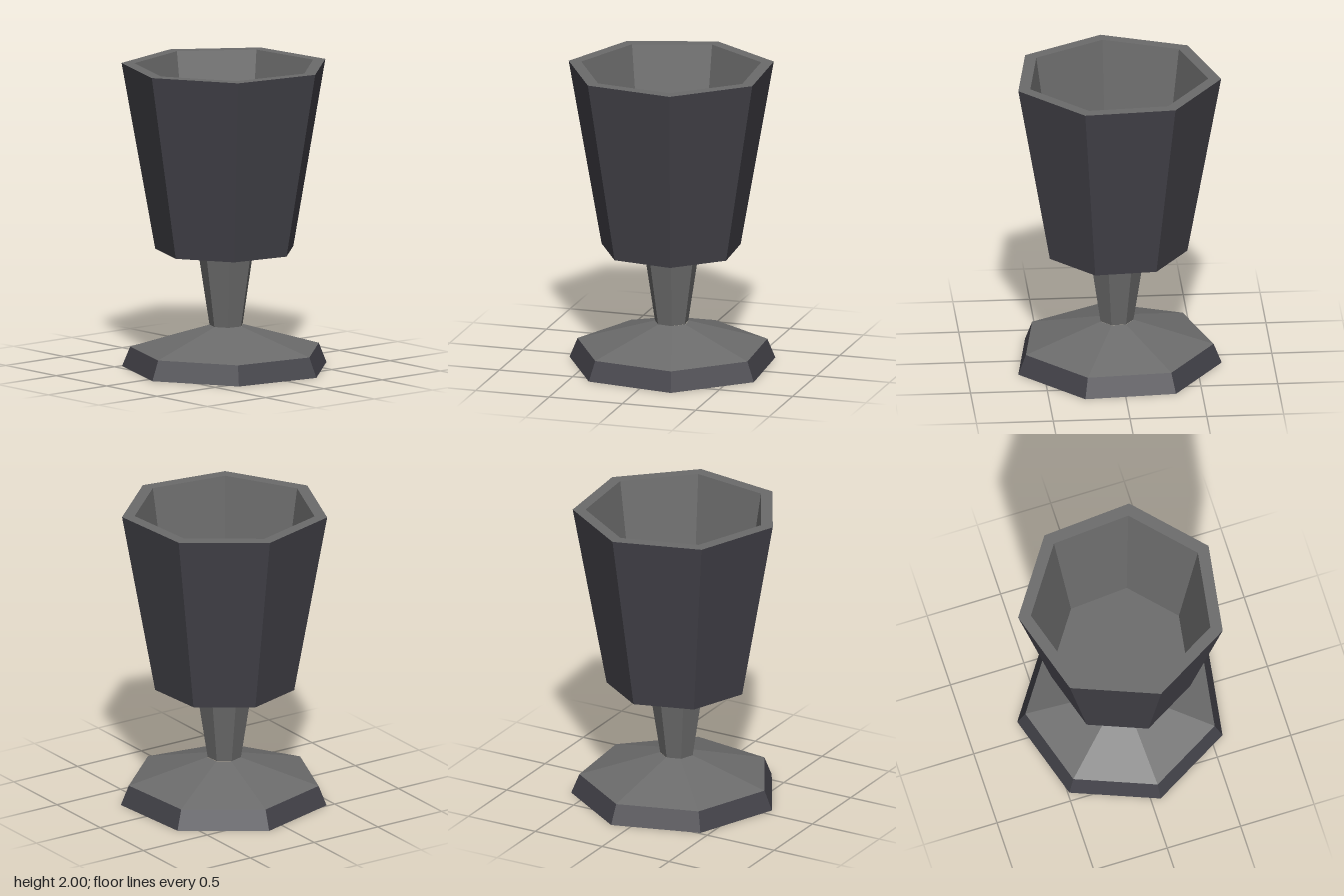
import * as THREE from 'three';

const SIDES = 7;
const TURN = THREE.MathUtils.degToRad(-85.8);

const grey = new THREE.MeshStandardMaterial({ color: 0x6b6b6b, flatShading: true });
grey.name = 'stone grey';
const dark = new THREE.MeshStandardMaterial({ color: 0x434249, flatShading: true });
dark.name = 'dark slate';

// Seven-sided band: the profile runs [radius, y], upwards on outer faces
function band(name, material, profile) {
  const points = profile.map(([r, y]) => new THREE.Vector2(r, y));
  const mesh = new THREE.Mesh(new THREE.LatheGeometry(points, SIDES, TURN), material);
  mesh.name = name;
  return mesh;
}

export function createModel() {
  const goblet = new THREE.Group();
  goblet.name = 'goblet';

  // Foot: flat underside, dark bevelled edge, sloping top
  const foot = new THREE.Group();
  foot.name = 'foot';
  foot.add(
    band('footUnderside', grey, [[0, 0], [0.685, 0]]),
    band('footEdge', dark, [[0.685, 0], [0.632, 0.13]]),
    band('footSlope', grey, [[0.632, 0.13], [0.111, 0.285]])
  );
  foot.position.set(0.022, 0, 0.013);

  // Stem widening towards the cup
  const stem = band('stem', grey, [[0.111, 0.285], [0.187, 0.78]]);
  stem.position.set(0.018, 0, 0.013);

  // Cup: underside, dark outer wall, then rim, inner wall and floor
  const cup = new THREE.Group();
  cup.name = 'cup';
  cup.add(
    band('cupUnderside', grey, [[0, 0.78], [0.463, 0.78]]),
    band('cupWall', dark, [[0.463, 0.78], [0.683, 2]]),
    band('cupInside', grey, [[0.683, 2], [0.599, 2], [0.449, 1.04], [0, 1.04]])
  );
  cup.position.set(0.014, 0, 0.014);

  goblet.add(foot, stem, cup);
  return goblet;
}
